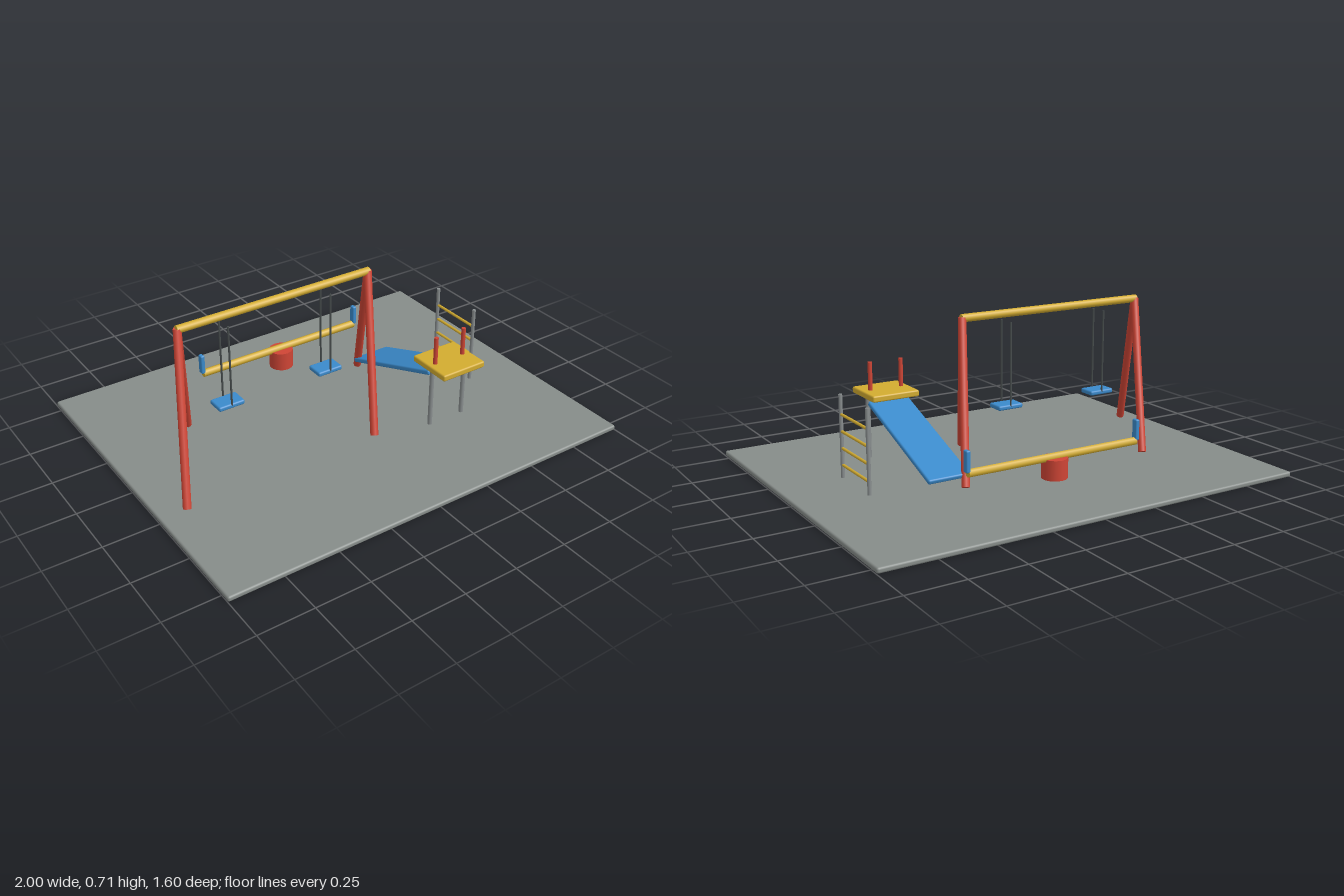
import * as THREE from 'three';
import { RoundedBoxGeometry } from 'three/addons/geometries/RoundedBoxGeometry.js';

const paint = (name, color) => {
  const m = new THREE.MeshStandardMaterial({ color });
  m.name = name;
  return m;
};

export function createModel() {
  const red = paint('red', 0xcf4535);
  const yellow = paint('yellow', 0xd3ac30);
  const blue = paint('blue', 0x3a8acb);
  const steel = paint('steel grey', 0x888d8e);
  const groundGrey = paint('ground grey', 0x868c89);
  const ropeGrey = paint('rope grey', 0x474d4d);

  const model = new THREE.Group();
  model.name = 'playground';

  const group = (name) => {
    const g = new THREE.Group();
    g.name = name;
    model.add(g);
    return g;
  };
  const add = (parent, name, geometry, material, x, y, z) => {
    const mesh = new THREE.Mesh(geometry, material);
    mesh.name = name;
    mesh.position.set(x, y, z);
    parent.add(mesh);
    return mesh;
  };
  // round bar between two points
  const bar = (parent, name, a, b, radius, material, sides = 10) => {
    const from = new THREE.Vector3(...a), to = new THREE.Vector3(...b);
    const dir = to.clone().sub(from);
    const mid = from.clone().add(to).multiplyScalar(0.5);
    const mesh = add(parent, name, new THREE.CylinderGeometry(radius, radius, dir.length(), sides), material, mid.x, mid.y, mid.z);
    mesh.quaternion.setFromUnitVectors(new THREE.Vector3(0, 1, 0), dir.normalize());
    return mesh;
  };
  // box with softened edges
  const slab = (parent, name, size, material, x, y, z, radius = 0.008) =>
    add(parent, name, new RoundedBoxGeometry(...size, 2, radius), material, x, y, z);

  slab(model, 'ground', [2, 0.024, 1.6], groundGrey, 0, 0.012, 0, 0.009);

  // Swing frame: two splayed leg pairs and a top bar
  const swings = group('swingSet');
  bar(swings, 'topBar', [-0.745, 0.695, 0], [0.195, 0.695, 0], 0.018, yellow);
  for (const x of [-0.74, 0.19]) {
    for (const s of [1, -1]) {
      bar(swings, 'frameLeg', [x, 0.695, 0], [x - s * 0.145, 0.04, s * 0.27], 0.018, red);
    }
  }
  // Hanging seats
  for (const x of [-0.532, -0.032]) {
    slab(swings, 'swingSeat', [0.124, 0.022, 0.084], blue, x, 0.279, 0);
    for (const z of [-0.038, 0.038]) bar(swings, 'swingRope', [x, 0.28, z], [x, 0.662, z], 0.0045, ropeGrey, 8);
  }

  // Seesaw
  const seesaw = group('seesaw');
  bar(seesaw, 'seesawBeam', [-0.42, 0.163, -0.433], [0.42, 0.163, -0.433], 0.018, yellow, 8);
  add(seesaw, 'seesawBase', new THREE.CylinderGeometry(0.057, 0.057, 0.088, 14), red, 0, 0.115, -0.43);
  for (const x of [-0.423, 0.423]) slab(seesaw, 'seesawHandle', [0.02, 0.093, 0.03], blue, x, 0.214, -0.433, 0.006);

  // Slide tower
  const slide = group('slideTower');
  slab(slide, 'platform', [0.228, 0.03, 0.218], yellow, 0.4, 0.329, 0.329);
  for (const s of [-1, 1]) {
    const x = 0.398 + s * 0.09, railX = 0.398 + s * 0.076;
    bar(slide, 'towerPost', [x, 0.035, 0.33], [x, 0.325, 0.33], 0.0105, steel);
    bar(slide, 'railPost', [railX, 0.33, 0.33], [railX, 0.473, 0.33], 0.01, red);
  }
  const chute = slab(slide, 'slideChute', [0.198, 0.022, 0.6], blue, 0.4, 0.187, 0.029);
  chute.rotation.x = -0.356;

  // Climbing ladder
  const ladder = group('ladder');
  for (const z of [-0.13, 0.13]) bar(ladder, 'ladderPost', [0.708, 0.035, z], [0.708, 0.403, z], 0.0085, steel);
  for (let i = 0; i < 4; i++) {
    const y = 0.092 + i * 0.0745;
    bar(ladder, 'ladderRung', [0.708, y, -0.13], [0.708, y, 0.13], 0.0065, yellow, 8);
  }

  return model;
}
